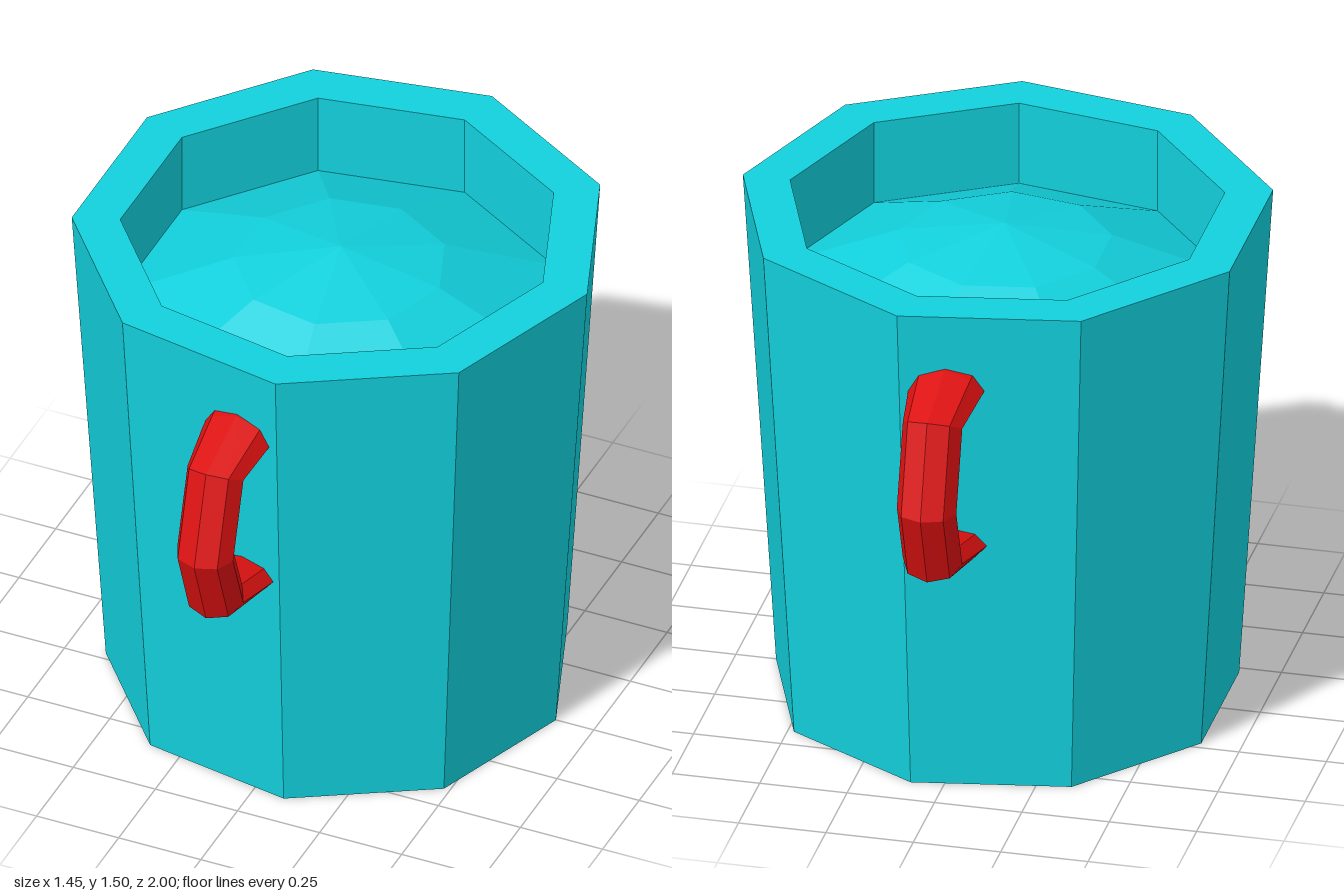
import * as THREE from 'three';

const SIDES = 9;
const CENTER_X = -0.02;
const teal = new THREE.MeshStandardMaterial({ color: 0x12d0dc, flatShading: true });
const red = new THREE.MeshStandardMaterial({ color: 0xdd1111, flatShading: true });

// Nine-sided turned part with one corner pointing to +x
function turned(name, profile) {
  const points = profile.map(([r, y]) => new THREE.Vector2(r, y));
  const mesh = new THREE.Mesh(new THREE.LatheGeometry(points, SIDES, Math.PI / 2), teal);
  mesh.name = name;
  return mesh;
}

// Octagonal tube swept through mitred rings
function handleGeometry() {
  // y and z of the ring centre, y and z of its outward half-axis, half-width in x
  const rings = [
    [1.275, 0.64, 0.07, 0.0, 0.11],
    [1.262, 0.71, 0.07, 0.004, 0.104],
    [1.232, 0.855, 0.038, 0.065, 0.085],
    [1.0, 0.925, 0.0, 0.075, 0.085],
    [0.81, 0.855, -0.036, 0.065, 0.085],
    [0.775, 0.69, -0.05, 0.004, 0.102],
    [0.765, 0.64, -0.05, 0.0, 0.107],
  ];
  const n = 8, positions = [], index = [];
  rings.forEach(([y, z, ny, nz, w], i) => {
    for (let j = 0; j < n; j++) {
      const a = (j / n) * Math.PI * 2;
      positions.push(Math.sin(a) * w, y + Math.cos(a) * ny, z + Math.cos(a) * nz);
      if (i === rings.length - 1) continue;
      const p = i * n + j, q = i * n + ((j + 1) % n);
      index.push(p, p + n, q + n, p, q + n, q);
    }
  });
  const geometry = new THREE.BufferGeometry();
  geometry.setAttribute('position', new THREE.Float32BufferAttribute(positions, 3));
  geometry.setIndex(index);
  geometry.computeVertexNormals();
  return geometry;
}

export function createModel() {
  const model = new THREE.Group();
  model.name = 'pot';
  model.position.x = CENTER_X;

  // Tapered body with a flat rim and recessed inner wall
  model.add(turned('body', [[0, 0], [0.655, 0], [0.75, 1.5], [0.615, 1.5], [0.615, 1.25]]));

  // Shallow dome closing the recess
  model.add(turned('domedFilling', [[0.615, 1.25], [0.3, 1.385], [0, 1.44]]));

  // Handles at front and back
  const geometry = handleGeometry();
  ['frontHandle', 'backHandle'].forEach((name, i) => {
    const handle = new THREE.Mesh(geometry, red);
    handle.name = name;
    handle.rotation.y = i * Math.PI;
    model.add(handle);
  });

  const root = new THREE.Group();
  root.add(model);
  return root;
}
